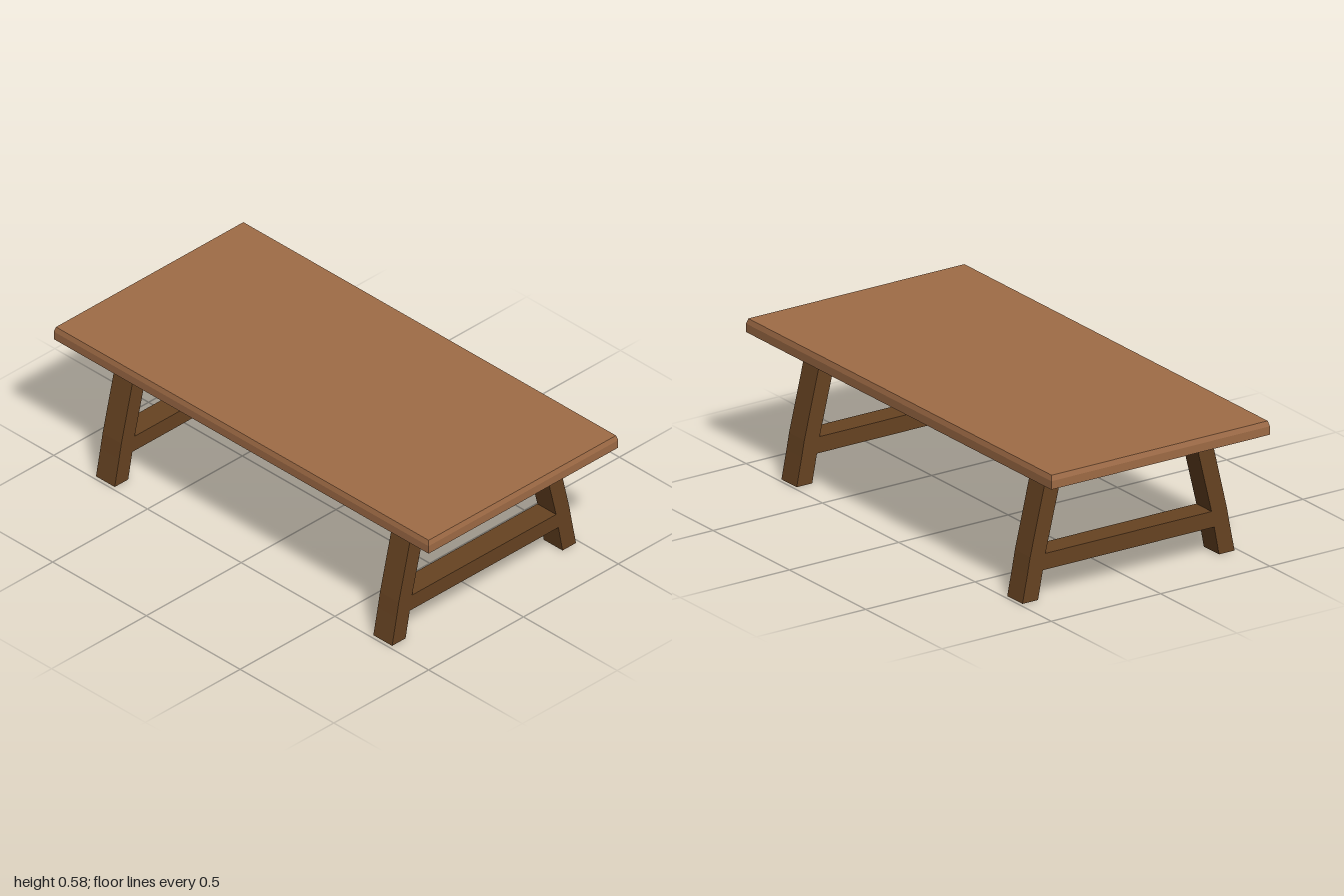
import * as THREE from 'three';

const topWood = new THREE.MeshStandardMaterial({ color: 0xa06c46, flatShading: true });
const legWood = new THREE.MeshStandardMaterial({ color: 0x674322, flatShading: true });

// Slab with a slim bevel around its upper edge
function makeTabletop() {
  const geometry = new THREE.BoxGeometry(2, 2, 1, 1, 2, 1);
  const levels = [0.529, 0.563, 0.584];
  const inset = 0.006;
  const p = geometry.attributes.position;
  for (let i = 0; i < p.count; i++) {
    const level = Math.round(p.getY(i)) + 1;
    p.setY(i, levels[level]);
    if (level === 2) {
      p.setX(i, p.getX(i) - Math.sign(p.getX(i)) * inset);
      p.setZ(i, p.getZ(i) - Math.sign(p.getZ(i)) * inset);
    }
  }
  geometry.computeVertexNormals();
  const mesh = new THREE.Mesh(geometry, topWood);
  mesh.name = 'tabletop';
  return mesh;
}

// Two splayed legs joined by a flush stretcher, cut as one outline
function makeTrestle(name, x) {
  const width = 0.1;
  const outer = [[0.485, 0], [0.462, 0.115], [0.45, 0.18], [0.367, 0.529]];
  const innerTop = [[0.295, 0.529], [0.38, 0.18]];
  const innerFoot = [[0.392, 0.115], [0.414, 0]];
  const mirror = (list) => list.map(([z, y]) => [-z, y]).reverse();
  const outline = [
    ...outer, ...innerTop, ...mirror(innerTop),
    ...mirror(outer), ...mirror(innerFoot), ...innerFoot,
  ];
  const shape = new THREE.Shape(outline.map(([z, y]) => new THREE.Vector2(z, y)));
  const geometry = new THREE.ExtrudeGeometry(shape, { depth: width, bevelEnabled: false });
  geometry.translate(0, 0, -width / 2);
  geometry.rotateY(Math.PI / 2);
  const mesh = new THREE.Mesh(geometry, legWood);
  mesh.name = name;
  mesh.position.x = x;
  return mesh;
}

export function createModel() {
  const table = new THREE.Group();
  table.name = 'table';
  table.add(
    makeTabletop(),
    makeTrestle('leftTrestle', 0.74),
    makeTrestle('rightTrestle', -0.74),
  );
  return table;
}
